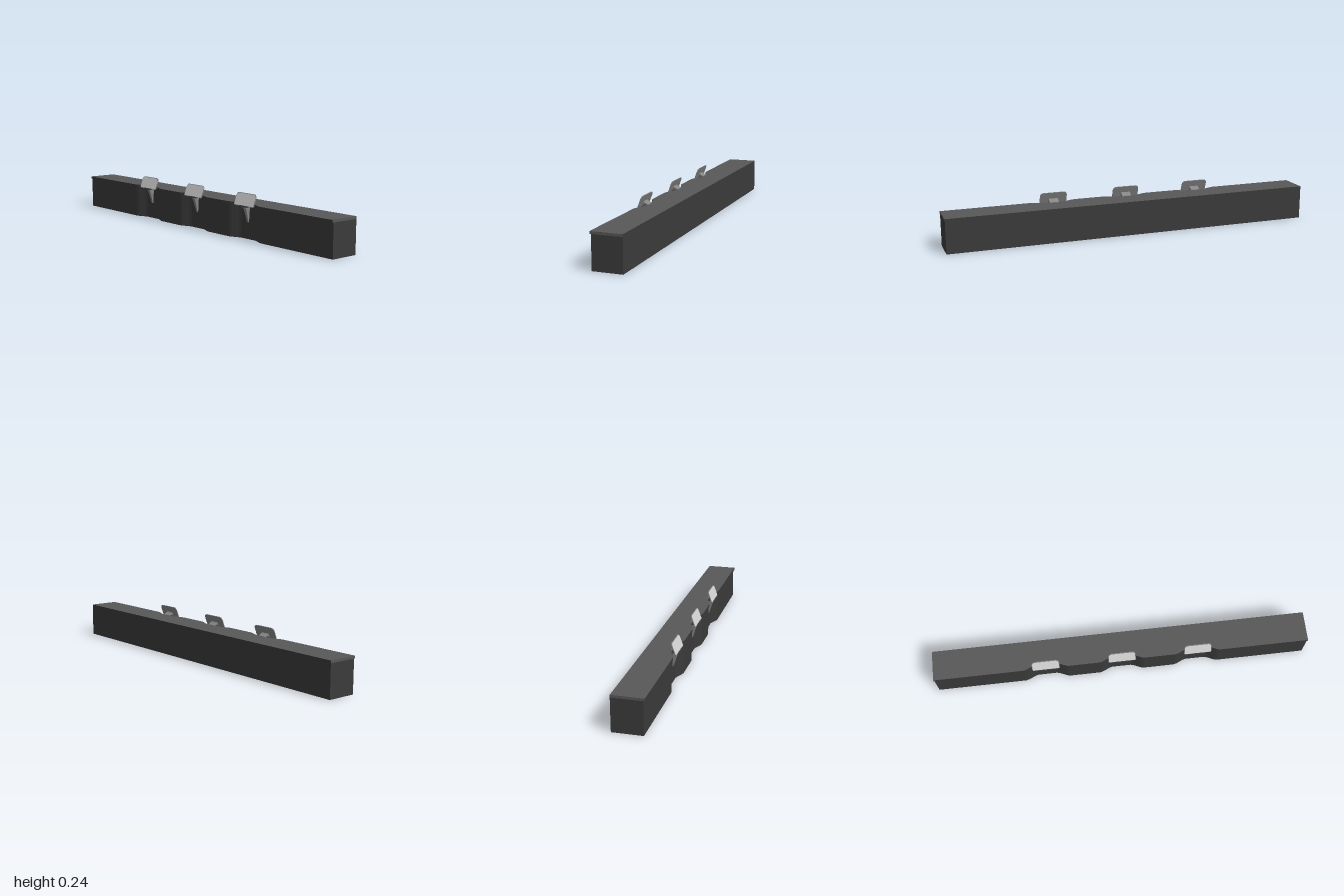
import * as THREE from 'three';

const mat = (name, color) => {
  const m = new THREE.MeshStandardMaterial({ color });
  m.name = name;
  return m;
};
const bodyMat = mat('charcoal', 0x3b3b3b);
const topMat = mat('counter grey', 0x585858);
const shellMat = mat('metal grey', 0x868686);
const faceMat = mat('pale grey', 0xd4d4d4);

const STATIONS = [-0.405, 0, 0.405];
const BACK = -0.084;

function add(parent, name, geometry, material) {
  const mesh = new THREE.Mesh(geometry, material);
  mesh.name = name;
  parent.add(mesh);
  return mesh;
}

// Counter plan with a shallow bay at each station, extruded downward from y = top
function counterSlab(front, top, height) {
  const s = new THREE.Shape();
  s.moveTo(-1, BACK);
  s.lineTo(1, BACK);
  s.lineTo(1, front);
  const bay = [[0.12, 0], [0.104, 0.004], [0.066, 0.021], [0.05, 0.025],
    [-0.05, 0.025], [-0.066, 0.021], [-0.104, 0.004], [-0.12, 0]];
  for (const x of [...STATIONS].reverse()) {
    for (const [dx, depth] of bay) s.lineTo(x + dx, front - depth);
  }
  s.lineTo(-1, front);
  const g = new THREE.ExtrudeGeometry(s, { depth: height, bevelEnabled: false });
  return g.rotateX(Math.PI / 2).translate(0, top, 0);
}

// Panel outline with generous top corners and small bottom corners
function panelGeometry(w, h, depth, rTop, rBottom) {
  const s = new THREE.Shape();
  const x = w / 2, y = h / 2;
  s.moveTo(-x + rBottom, -y);
  s.lineTo(x - rBottom, -y);
  s.quadraticCurveTo(x, -y, x, -y + rBottom);
  s.lineTo(x, y - rTop);
  s.quadraticCurveTo(x, y, x - rTop, y);
  s.lineTo(-x + rTop, y);
  s.quadraticCurveTo(-x, y, -x, y - rTop);
  s.lineTo(-x, -y + rBottom);
  s.quadraticCurveTo(-x, -y, -x + rBottom, -y);
  return new THREE.ExtrudeGeometry(s, { depth, bevelEnabled: false, curveSegments: 6 });
}

// Side profile given as [z, y], extruded across x
function profileGeometry(points, width) {
  const s = new THREE.Shape(points.map(([z, y]) => new THREE.Vector2(z, y)));
  const g = new THREE.ExtrudeGeometry(s, { depth: width, bevelEnabled: false });
  return g.translate(0, 0, -width / 2).rotateY(-Math.PI / 2);
}

function createStation() {
  const station = new THREE.Group();

  // Tilted panel with a pale front
  const panel = new THREE.Group();
  panel.name = 'panel';
  panel.position.set(0, 0.203, 0.0665);
  panel.rotation.x = -0.35;
  station.add(panel);
  add(panel, 'panelShell', panelGeometry(0.146, 0.068, 0.004, 0.022, 0.008).translate(0, 0, -0.002), shellMat);
  add(panel, 'panelFace', panelGeometry(0.14, 0.062, 0.001, 0.02, 0.006).translate(0, 0, 0.002), faceMat);

  // Arm resting on the counter edge
  add(station, 'mountArm', profileGeometry(
    [[0.042, 0.182], [0.062, 0.19], [0.074, 0.178], [0.076, 0.182], [0.067, 0.202], [0.062, 0.197], [0.042, 0.186]],
    0.05), shellMat);

  // Clip under the panel
  add(station, 'clip', profileGeometry(
    [[0.05, 0.17], [0.081, 0.167], [0.084, 0.17], [0.079, 0.176], [0.05, 0.178]], 0.06), bodyMat);

  // Spur narrowing down to the bay wall
  const spur = profileGeometry(
    [[0.044, 0.084], [0.05, 0.09], [0.06, 0.125], [0.069, 0.153], [0.08, 0.17], [0.044, 0.17]], 0.022);
  const p = spur.attributes.position;
  for (let i = 0; i < p.count; i++) {
    p.setX(i, p.getX(i) * THREE.MathUtils.mapLinear(p.getY(i), 0.084, 0.17, 0.45, 1));
  }
  spur.computeVertexNormals();
  add(station, 'spur', spur, shellMat);
  return station;
}

export function createModel() {
  const model = new THREE.Group();
  model.name = 'counter';

  // Counter body and slightly overhanging top
  add(model, 'counterBody', counterSlab(0.07, 0.17, 0.17), bodyMat);
  add(model, 'counterTop', counterSlab(0.077, 0.183, 0.013), [topMat, bodyMat]);

  // Pale end strips on the top slab
  for (const side of [-1, 1]) {
    const strip = add(model, 'endStrip', new THREE.BoxGeometry(0.002, 0.012, 0.16), topMat);
    strip.position.set(side * 0.9995, 0.1765, -0.0035);
  }

  STATIONS.forEach((x, i) => {
    const station = createStation();
    station.name = ['rightStation', 'middleStation', 'leftStation'][i];
    station.position.x = x;
    model.add(station);
  });
  return model;
}
